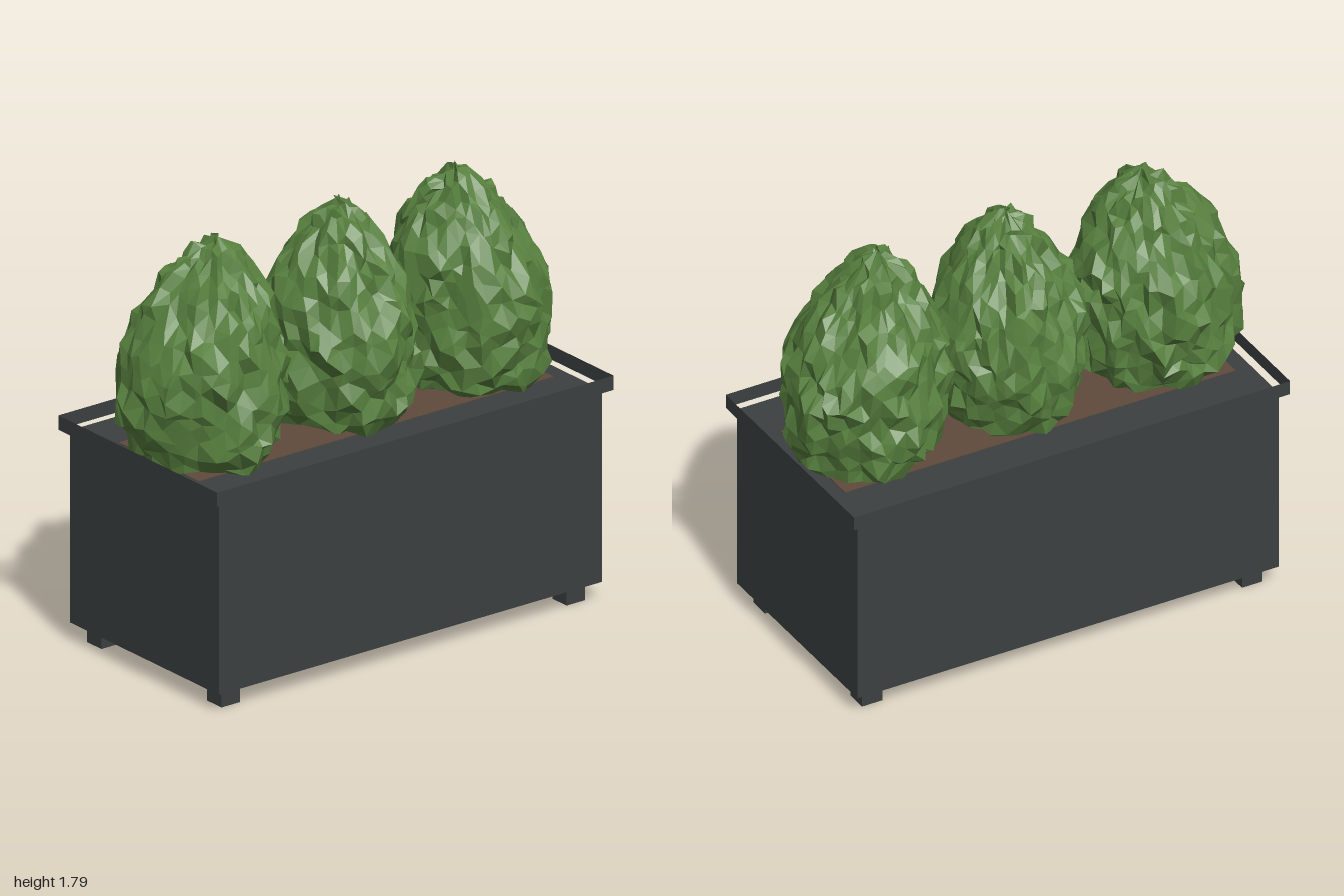
import * as THREE from 'three';
import { mergeVertices } from 'three/addons/utils/BufferGeometryUtils.js';

// Small seeded random generator, 0..1
function seeded(seed) {
  let s = seed;
  return () => {
    s = (s * 16807) % 2147483647;
    return s / 2147483647;
  };
}

// Shrub silhouette: [height, radius]
const PROFILE = [
  [0.77, 0], [0.8, 0.15], [0.88, 0.25], [0.95, 0.292], [1.05, 0.31], [1.2, 0.32], [1.3, 0.31],
  [1.4, 0.283], [1.5, 0.24], [1.58, 0.19], [1.66, 0.13], [1.72, 0.075], [1.76, 0],
];

function radiusAt(y) {
  for (let i = 1; i < PROFILE.length; i++) {
    const [y0, r0] = PROFILE[i - 1], [y1, r1] = PROFILE[i];
    if (y <= y1) return r0 + ((r1 - r0) * Math.max(0, y - y0)) / (y1 - y0);
  }
  return 0;
}

// Faceted shrub: a sphere pulled to the profile, with lobes and jitter
function shrubGeometry(seed, width, lean) {
  const random = seeded(seed);
  const sphere = new THREE.IcosahedronGeometry(1, 7);
  sphere.deleteAttribute('normal');
  sphere.deleteAttribute('uv');
  const geometry = mergeVertices(sphere, 1e-3);
  const p = geometry.attributes.position;
  for (let i = 0; i < p.count; i++) {
    const angle = Math.atan2(p.getZ(i), p.getX(i));
    const y = 1.27 + 0.5 * p.getY(i);
    const lobes = 0.995
      + 0.035 * Math.cos(4 * angle)
      + 0.03 * Math.sin(5 * angle + seed + 8 * y)
      + 0.03 * Math.sin(3 * angle - seed + 14 * y)
      + 0.02 * Math.sin(9 * angle + 2 * seed - 16 * y);
    const r = radiusAt(y) * lobes + (random() - 0.5) * 0.05;
    const a = angle + (random() - 0.5) * 0.09;
    const shift = lean * Math.max(0, y - 1.25);
    // Side lobes sit a little behind the middle
    const back = 0.05 * Math.cos(angle) ** 2 * p.getX(i) ** 2;
    p.setXYZ(
      i,
      Math.cos(a) * r * width + shift,
      y + (random() - 0.5) * 0.05,
      Math.sin(a) * r * 1.06 + 0.012 - back,
    );
  }
  const faceted = geometry.toNonIndexed();
  faceted.computeVertexNormals();
  return faceted;
}

export function createModel() {
  const model = new THREE.Group();
  model.name = 'planterWithShrubs';

  const metal = new THREE.MeshStandardMaterial({ color: 0x3b4040 });
  metal.name = 'charcoal';
  const rimMetal = new THREE.MeshStandardMaterial({ color: 0x3b4040, side: THREE.DoubleSide });
  rimMetal.name = 'charcoal sheet';
  const earth = new THREE.MeshStandardMaterial({ color: 0x604b3b });
  earth.name = 'soil brown';
  const leaf = new THREE.MeshStandardMaterial({ color: 0x58813f, flatShading: true });
  leaf.name = 'leaf green';

  const add = (name, geometry, material, x = 0, y = 0, z = 0) => {
    const mesh = new THREE.Mesh(geometry, material);
    mesh.name = name;
    mesh.position.set(x, y, z);
    model.add(mesh);
    return mesh;
  };

  // Planter body
  add('planterBox', new THREE.BoxGeometry(1.88, 0.803, 0.94), metal, 0.003, 0.4815, 0);

  // Feet
  for (const x of [-0.843, 0.85]) {
    for (const z of [-0.378, 0.378]) {
      add('foot', new THREE.BoxGeometry(0.09, 0.08, 0.09), metal, x, 0.04, z);
    }
  }

  // Thin rim band standing just outside the body, open above and below
  for (const side of [-1, 1]) {
    add('rimLong', new THREE.PlaneGeometry(1.945, 0.06), rimMetal, 0.003, 0.914, side * 0.5);
    add('rimEnd', new THREE.PlaneGeometry(1, 0.06), rimMetal, 0.003 + side * 0.9725, 0.914, 0)
      .rotation.y = Math.PI / 2;
  }

  // Soil bed under the shrubs
  add('soil', new THREE.BoxGeometry(1.74, 0.004, 0.5), earth, 0.003, 0.884, 0);

  // Row of shrubs: [x, seed, width, lean]
  for (const [x, seed, width, lean] of [[-0.65, 11, 1.02, 0.1], [0.01, 47, 0.94, 0], [0.65, 83, 1.01, -0.14]]) {
    add('shrub', shrubGeometry(seed, width, lean), leaf, x);
  }

  return model;
}
